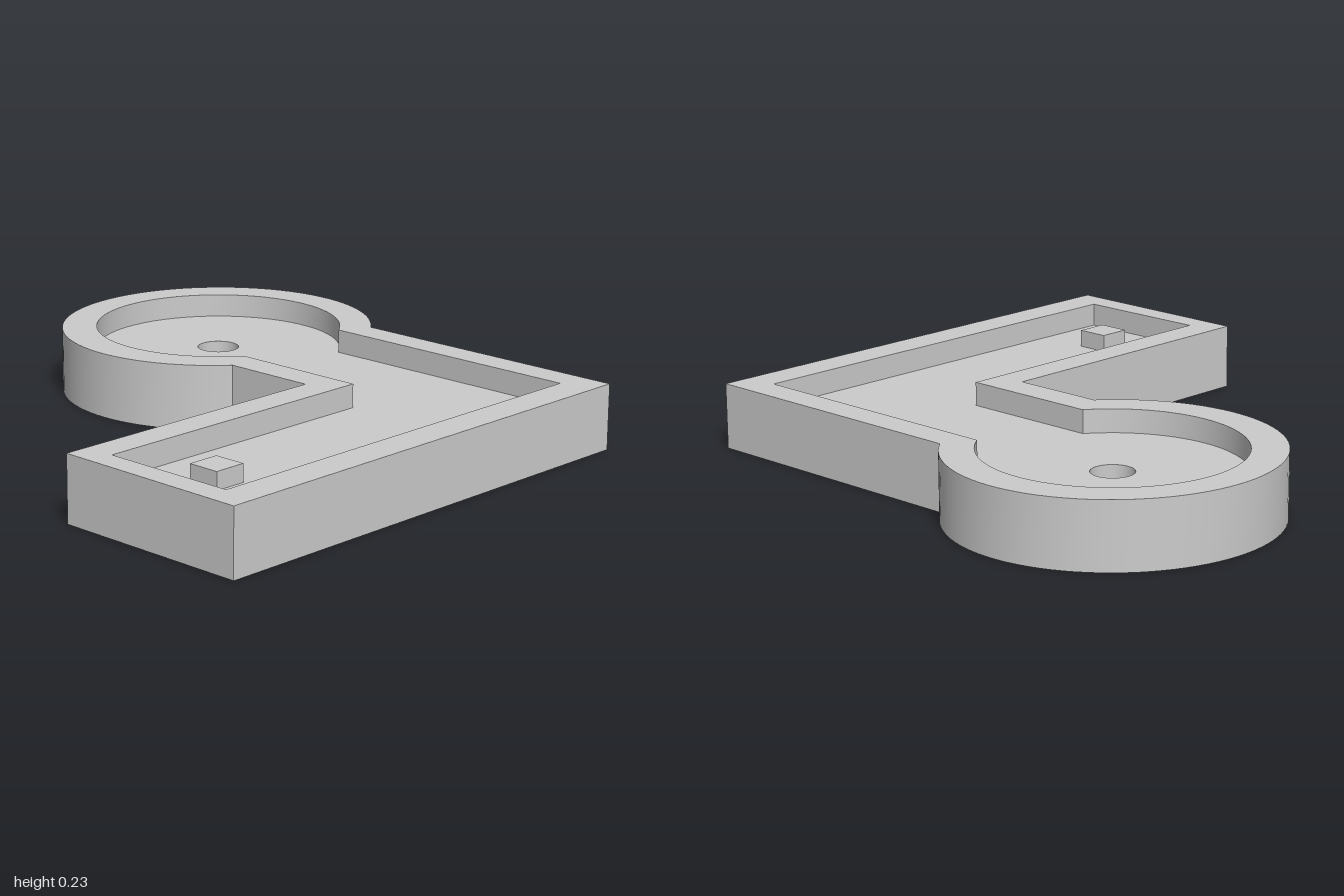
import * as THREE from 'three';
import { mergeGeometries, toCreasedNormals } from 'three/addons/utils/BufferGeometryUtils.js';

const HEIGHT = 0.226, FLOOR = 0.145, HOLE_BOTTOM = 0.095;

// Plans are drawn in (x, -z), counter-clockwise.
function keyholePlan(cx, cy, rx, ry, halfNeck, corners) {
  const a = Math.asin(halfNeck / ry), n = 72, pts = [];
  for (let i = 0; i <= n; i++) {
    const t = a + (2 * Math.PI - 2 * a) * i / n;
    pts.push(new THREE.Vector2(cx + rx * Math.cos(t), cy + ry * Math.sin(t)));
  }
  corners.forEach(([x, z]) => pts.push(new THREE.Vector2(x, -z)));
  return pts;
}

function circlePlan(cx, cy, r, n = 40) {
  return Array.from({ length: n }, (_, i) => {
    const t = 2 * Math.PI * i / n;
    return new THREE.Vector2(cx + r * Math.cos(t), cy + r * Math.sin(t));
  });
}

// Flat face at height y, with an optional hole.
function cap(pts, y, hole, down = false) {
  const shape = new THREE.Shape(pts);
  if (hole) shape.holes.push(new THREE.Path(hole));
  const g = new THREE.ShapeGeometry(shape).rotateX(-Math.PI / 2).translate(0, y, 0);
  if (down) g.index.array.reverse();
  return g.toNonIndexed();
}

// Vertical band following a plan; inward bands face the inside of the plan.
function wall(pts, y0, y1, inward = false) {
  const pos = [];
  pts.forEach((p, i) => {
    const q = pts[(i + 1) % pts.length];
    const [a, b] = inward ? [q, p] : [p, q];
    pos.push(a.x, y0, -a.y, b.x, y0, -b.y, b.x, y1, -b.y);
    pos.push(a.x, y0, -a.y, b.x, y1, -b.y, a.x, y1, -a.y);
  });
  const g = new THREE.BufferGeometry();
  g.setAttribute('position', new THREE.Float32BufferAttribute(pos, 3));
  return g;
}

export function createModel() {
  const group = new THREE.Group();
  const material = new THREE.MeshStandardMaterial({ color: 0xcccccc });
  const add = (name, parts) => {
    parts.forEach(g => { g.deleteAttribute('uv'); g.deleteAttribute('normal'); });
    const mesh = new THREE.Mesh(toCreasedNormals(mergeGeometries(parts), 0.5), material);
    mesh.name = name;
    group.add(mesh);
  };

  const outer = keyholePlan(-0.46, 0.433, 0.54, 0.5525, 0.35,
    [[0.29, -0.083], [0.29, 0.977], [1, 0.985], [1, -0.783]]);
  const inner = keyholePlan(-0.455, 0.435, 0.43, 0.43, 0.24,
    [[0.4, -0.195], [0.4, 0.893], [0.88, 0.893], [0.88, -0.675]]);
  const hole = circlePlan(-0.455, 0.435, 0.072);

  // Outer shell: underside, sides and flat rim
  add('trayShell', [
    cap(outer, 0, null, true), wall(outer, 0, HEIGHT), cap(outer, HEIGHT, inner),
  ]);
  // Sunken channel
  add('recess', [wall(inner, FLOOR, HEIGHT, true), cap(inner, FLOOR, hole)]);
  // Blind hole in the round end
  add('pivotHole', [wall(hole, HOLE_BOTTOM, FLOOR, true), cap(hole, HOLE_BOTTOM)]);

  // Small square peg near the end of the arm
  const peg = new THREE.Mesh(new THREE.BoxGeometry(0.114, 0.06, 0.114), material);
  peg.position.set(0.638, FLOOR + 0.03, 0.686);
  peg.name = 'peg';
  group.add(peg);
  return group;
}
